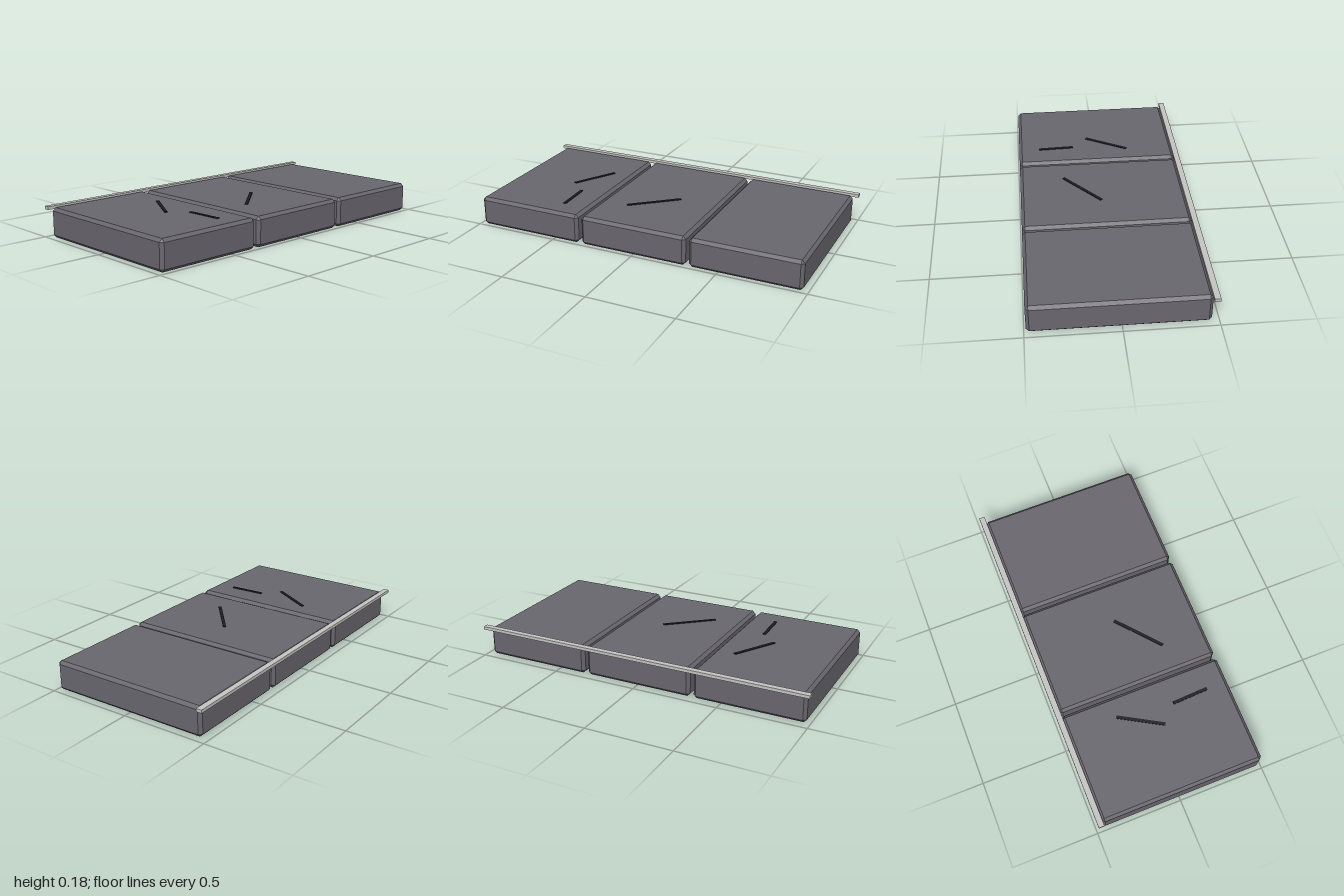
import * as THREE from 'three';
import { ConvexGeometry } from 'three/addons/geometries/ConvexGeometry.js';

// Box with every edge and corner cut by a flat bevel
function bevelledBox(w, h, d, c) {
  const points = [];
  for (const sx of [-1, 1]) for (const sy of [-1, 1]) for (const sz of [-1, 1]) {
    const x = w / 2, y = h / 2, z = d / 2;
    points.push(
      new THREE.Vector3(sx * x, sy * (y - c), sz * (z - c)),
      new THREE.Vector3(sx * (x - c), sy * y, sz * (z - c)),
      new THREE.Vector3(sx * (x - c), sy * (y - c), sz * z));
  }
  return new ConvexGeometry(points);
}

export function createModel() {
  const model = new THREE.Group();
  model.name = 'pavement';
  const stone = new THREE.MeshStandardMaterial({ name: 'grey stone', color: 0x69676e });
  const dark = new THREE.MeshStandardMaterial({ name: 'dark crack', color: 0x1c1c26 });
  const pale = new THREE.MeshStandardMaterial({ name: 'pale kerb', color: 0xc4c4c2 });

  const add = (name, geometry, material, x, y, z) => {
    const mesh = new THREE.Mesh(geometry, material);
    mesh.name = name;
    mesh.position.set(x, y, z);
    model.add(mesh);
    return mesh;
  };

  // Three paving slabs side by side
  const slab = bevelledBox(0.636, 0.17, 0.95, 0.017);
  [-0.66, -0.003, 0.653].forEach((x, i) =>
    add('slab' + (i + 1), slab, stone, x, 0.085, 0.014));

  // Thin cracks on the slab tops: x, z of both ends
  const cracks = [
    [-0.46, -0.175, -0.6, 0.067],
    [-0.503, 0.155, -0.494, 0.365],
    [0.083, 0.027, -0.16, 0.233],
  ];
  cracks.forEach(([x1, z1, x2, z2], i) => {
    const length = Math.hypot(x2 - x1, z2 - z1);
    const crack = add('crack' + (i + 1), new THREE.BoxGeometry(length, 0.008, 0.018), dark,
      (x1 + x2) / 2, 0.17, (z1 + z2) / 2);
    crack.rotation.y = -Math.atan2(z2 - z1, x2 - x1);
  });

  // Kerb strip along the back edge
  add('kerbStrip', new THREE.BoxGeometry(2, 0.018, 0.033), pale, 0, 0.169, -0.473);

  return model;
}
